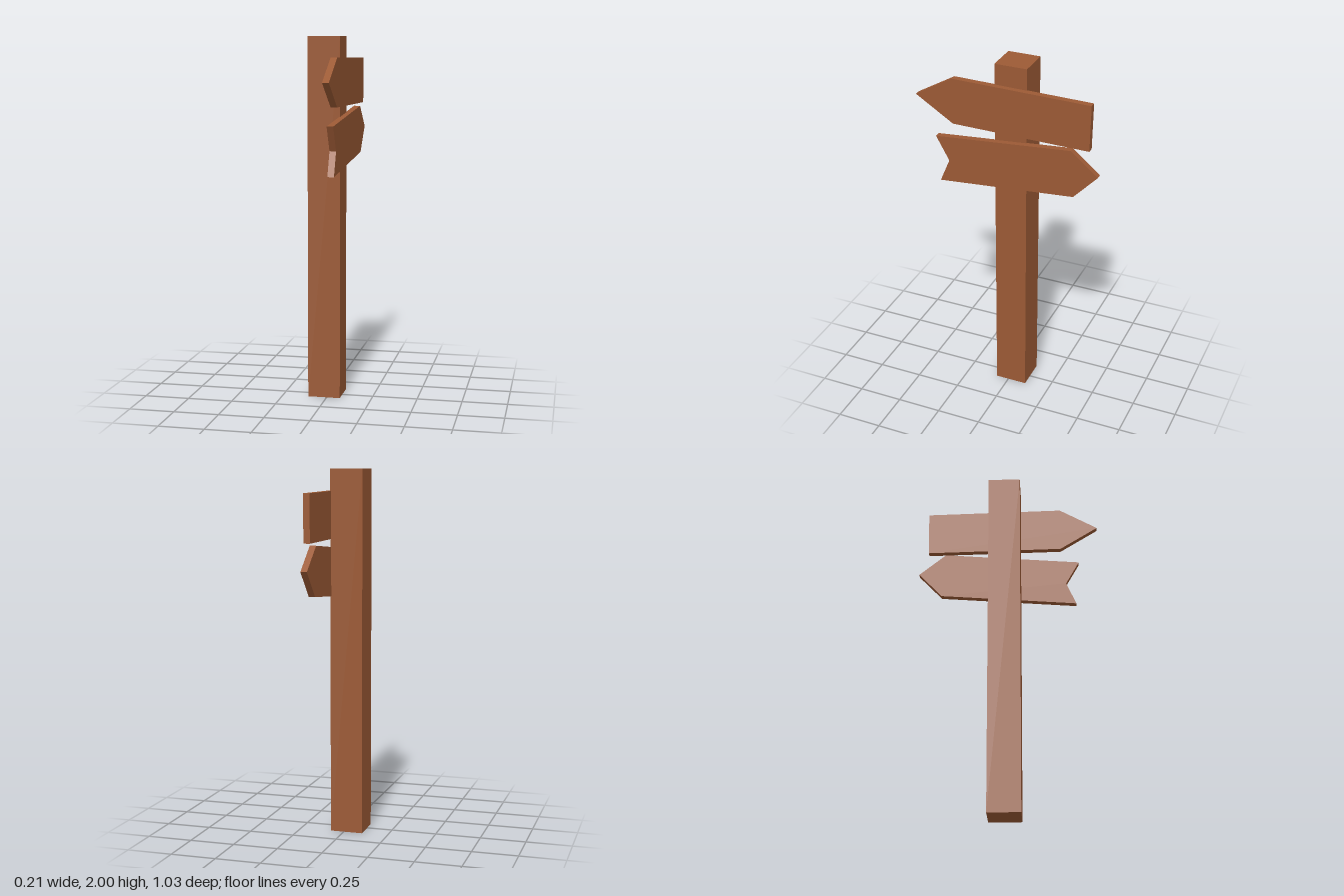
import * as THREE from 'three';

export function createModel() {
  const group = new THREE.Group();
  const wood = new THREE.MeshStandardMaterial({ color: 0x9c5a35 });
  wood.name = 'brown wood';

  // Square post
  const post = new THREE.Mesh(new THREE.BoxGeometry(0.18, 2, 0.18), wood);
  post.name = 'post';
  post.position.set(-0.015, 1, -0.017);
  group.add(post);

  // Flat board cut from an outline, mounted on the +x side of the post
  function addBoard(name, outline) {
    const shape = new THREE.Shape(outline.map(([x, y]) => new THREE.Vector2(x, y)));
    const geometry = new THREE.ExtrudeGeometry(shape, { depth: 0.035, bevelEnabled: false });
    geometry.rotateY(Math.PI / 2);
    const board = new THREE.Mesh(geometry, wood);
    board.name = name;
    board.position.x = 0.07;
    group.add(board);
  }

  // Arrow pointing to the front, with a square tail
  addBoard('upperArrowBoard', [
    [-0.515, 1.765], [-0.302, 1.631], [0.464, 1.621], [0.468, 1.877], [-0.302, 1.889],
  ]);

  // Arrow pointing to the back, tilted, with a notched tail
  addBoard('lowerArrowBoard', [
    [-0.385, 1.275], [0.383, 1.339], [0.515, 1.48], [0.363, 1.605], [-0.405, 1.539], [-0.33, 1.405],
  ]);

  return group;
}
